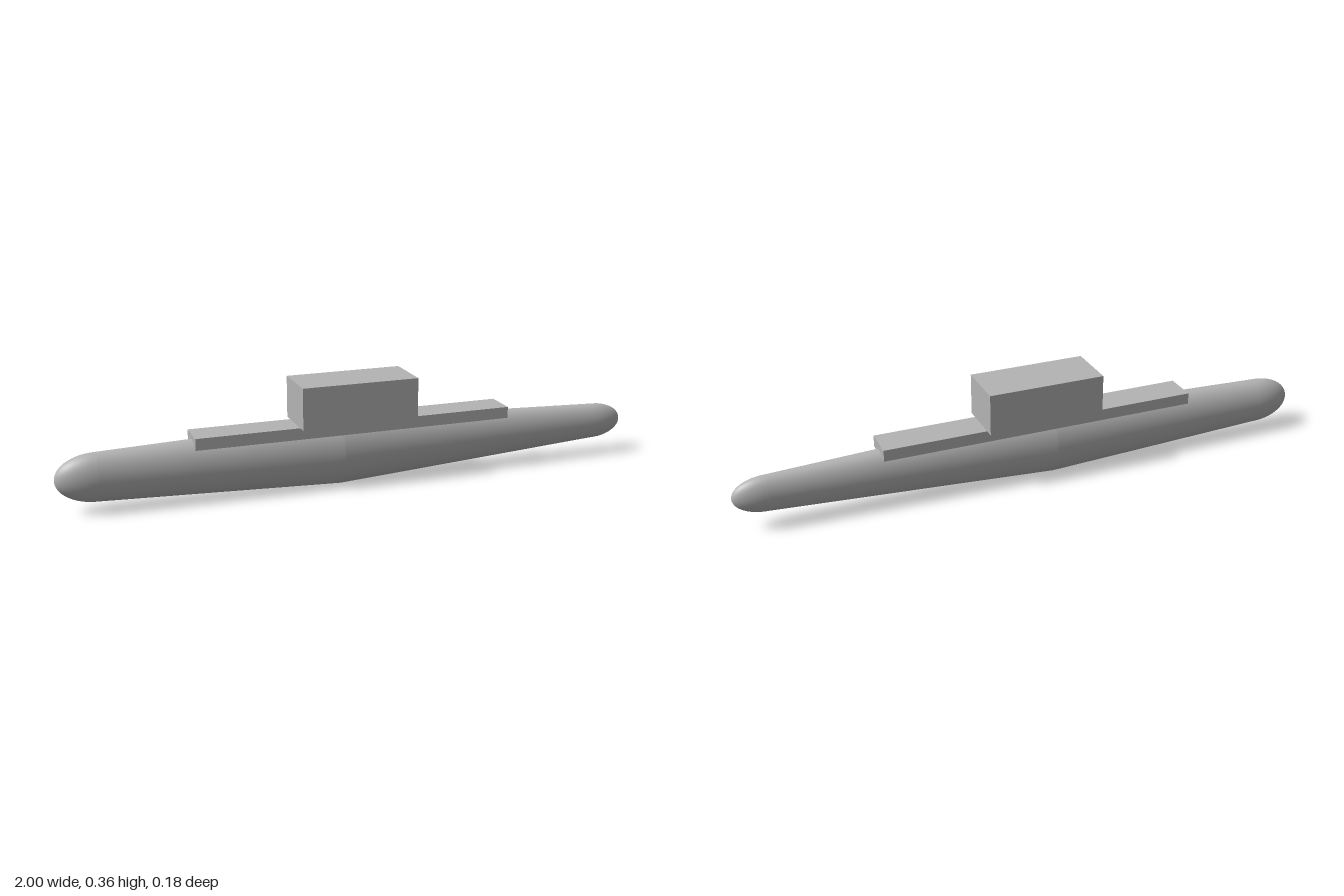
import * as THREE from 'three';

const SIDES = 48;

// Skin a run of elliptical sections [x, centreY, halfHeight, halfWidth] ordered by rising x.
function loft(sections) {
  const positions = [], indices = [];
  for (const [x, cy, h, w] of sections) {
    for (let i = 0; i < SIDES; i++) {
      const a = (i / SIDES) * Math.PI * 2;
      positions.push(x, cy + h * Math.cos(a), w * Math.sin(a));
    }
  }
  for (let s = 0; s < sections.length - 1; s++) {
    for (let i = 0; i < SIDES; i++) {
      const a = s * SIDES + i, b = s * SIDES + ((i + 1) % SIDES);
      const c = a + SIDES, d = b + SIDES;
      indices.push(a, b, d, a, d, c);
    }
  }
  const g = new THREE.BufferGeometry();
  g.setAttribute('position', new THREE.Float32BufferAttribute(positions, 3));
  g.setIndex(indices);
  g.computeVertexNormals();
  return g;
}

// Rounded end growing from a hull section out to a tip.
function cap([x, cy, h, w], tipX) {
  const rings = [], steps = 14;
  for (let k = 0; k <= steps; k++) {
    const t = (k / steps) * Math.PI / 2;
    const r = Math.max(Math.cos(t), 0.001);
    rings.push([x + (tipX - x) * Math.sin(t), cy, h * r, w * r]);
  }
  return loft(tipX < x ? rings.reverse() : rings);
}

export function createModel() {
  const group = new THREE.Group();
  const grey = new THREE.MeshStandardMaterial({ color: 0xb4b4b4 });
  grey.name = 'hull grey';

  const add = (name, geometry) => {
    const mesh = new THREE.Mesh(geometry, grey);
    mesh.name = name;
    group.add(mesh);
    return mesh;
  };

  // Hull: two tapers meeting amidships, each closed by a rounded end
  const left = [-0.87, 0.113, 0.08, 0.053];
  const middle = [-0.07, 0.11, 0.11, 0.071];
  const right = [0.89, 0.12, 0.062, 0.038];
  add('bluntEnd', cap(left, -1));
  add('bluntTaper', loft([left, middle]));
  add('slimTaper', loft([middle, right]));
  add('slimEnd', cap(right, 1));

  // Deck and cabin
  const box = (name, x0, x1, y0, y1, depth) =>
    add(name, new THREE.BoxGeometry(x1 - x0, y1 - y0, depth))
      .position.set((x0 + x1) / 2, (y0 + y1) / 2, 0);
  box('deck', -0.565, 0.525, 0.181, 0.22, 0.113);
  box('cabin', -0.22, 0.177, 0.22, 0.36, 0.178);

  return group;
}
